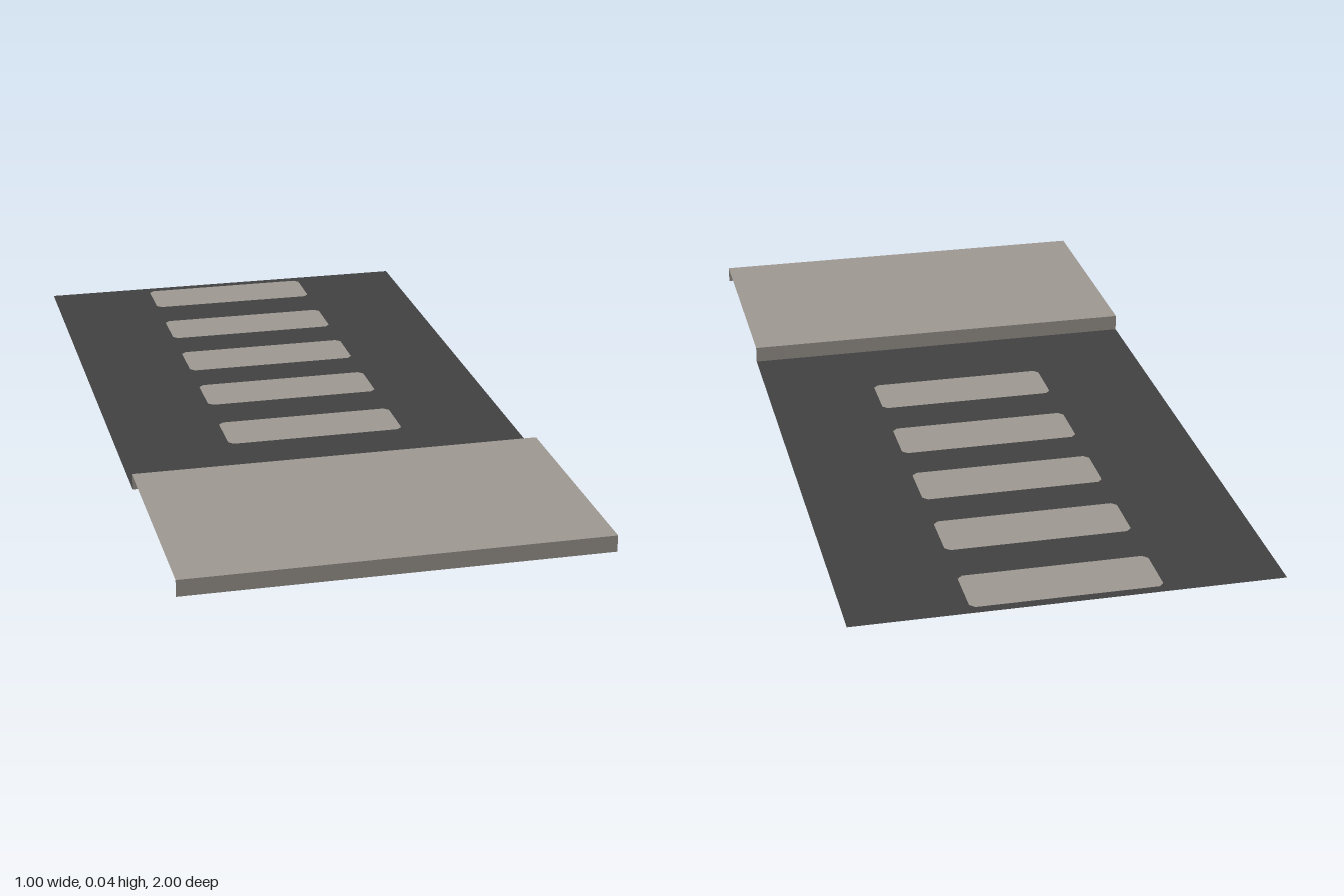
import * as THREE from 'three';

const HALF_WIDTH = 0.5, CURB_Z = 0.42, CURB_HEIGHT = 0.04;
const STRIPE_CENTRES = [-0.905, -0.642, -0.387, -0.135, 0.13];

// Rectangle with slightly clipped corners, drawn with shape y = -z
function stripePoints(z) {
  const w = 0.222, d = 0.071, c = 0.012;
  return [
    [w - c, d], [w, d - c], [w, c - d], [w - c, -d],
    [c - w, -d], [-w, c - d], [-w, d - c], [c - w, d],
  ].map(([x, y]) => new THREE.Vector2(x, y - z));
}

export function createModel() {
  const model = new THREE.Group();
  const asphalt = new THREE.MeshStandardMaterial({ color: 0x414141, side: THREE.DoubleSide });
  asphalt.name = 'asphalt';
  const concrete = new THREE.MeshStandardMaterial({ color: 0x9f9993, side: THREE.DoubleSide });
  concrete.name = 'paleConcrete';

  const add = (name, geometry, material, parent = model) => {
    const mesh = new THREE.Mesh(geometry, material);
    mesh.name = name;
    parent.add(mesh);
    return mesh;
  };
  const flat = (shape) => new THREE.ShapeGeometry(shape).rotateX(-Math.PI / 2);

  // Road sheet, with openings for the flush crossing stripes
  const road = new THREE.Shape([
    new THREE.Vector2(-HALF_WIDTH, -CURB_Z), new THREE.Vector2(HALF_WIDTH, -CURB_Z),
    new THREE.Vector2(HALF_WIDTH, 1), new THREE.Vector2(-HALF_WIDTH, 1),
  ]);
  road.holes = STRIPE_CENTRES.map((z) => new THREE.Path(stripePoints(z)));
  add('roadSurface', flat(road), asphalt);

  // Crossing stripes
  const stripes = new THREE.Group();
  stripes.name = 'crossingStripes';
  model.add(stripes);
  for (const z of STRIPE_CENTRES) {
    add('crossingStripe', flat(new THREE.Shape(stripePoints(z))), concrete, stripes);
  }

  // Raised pavement: open-sided slab with a kerb face at each end
  const pavement = new THREE.Group();
  pavement.name = 'pavement';
  model.add(pavement);
  const width = HALF_WIDTH * 2;
  add('pavementTop', new THREE.PlaneGeometry(width, 1 - CURB_Z).rotateX(-Math.PI / 2), concrete, pavement)
    .position.set(0, CURB_HEIGHT, (1 + CURB_Z) / 2);
  add('frontFace', new THREE.PlaneGeometry(width, CURB_HEIGHT), concrete, pavement)
    .position.set(0, CURB_HEIGHT / 2, 1);
  add('kerbFace', new THREE.PlaneGeometry(width, CURB_HEIGHT).rotateY(Math.PI), concrete, pavement)
    .position.set(0, CURB_HEIGHT / 2, CURB_Z);

  return model;
}
